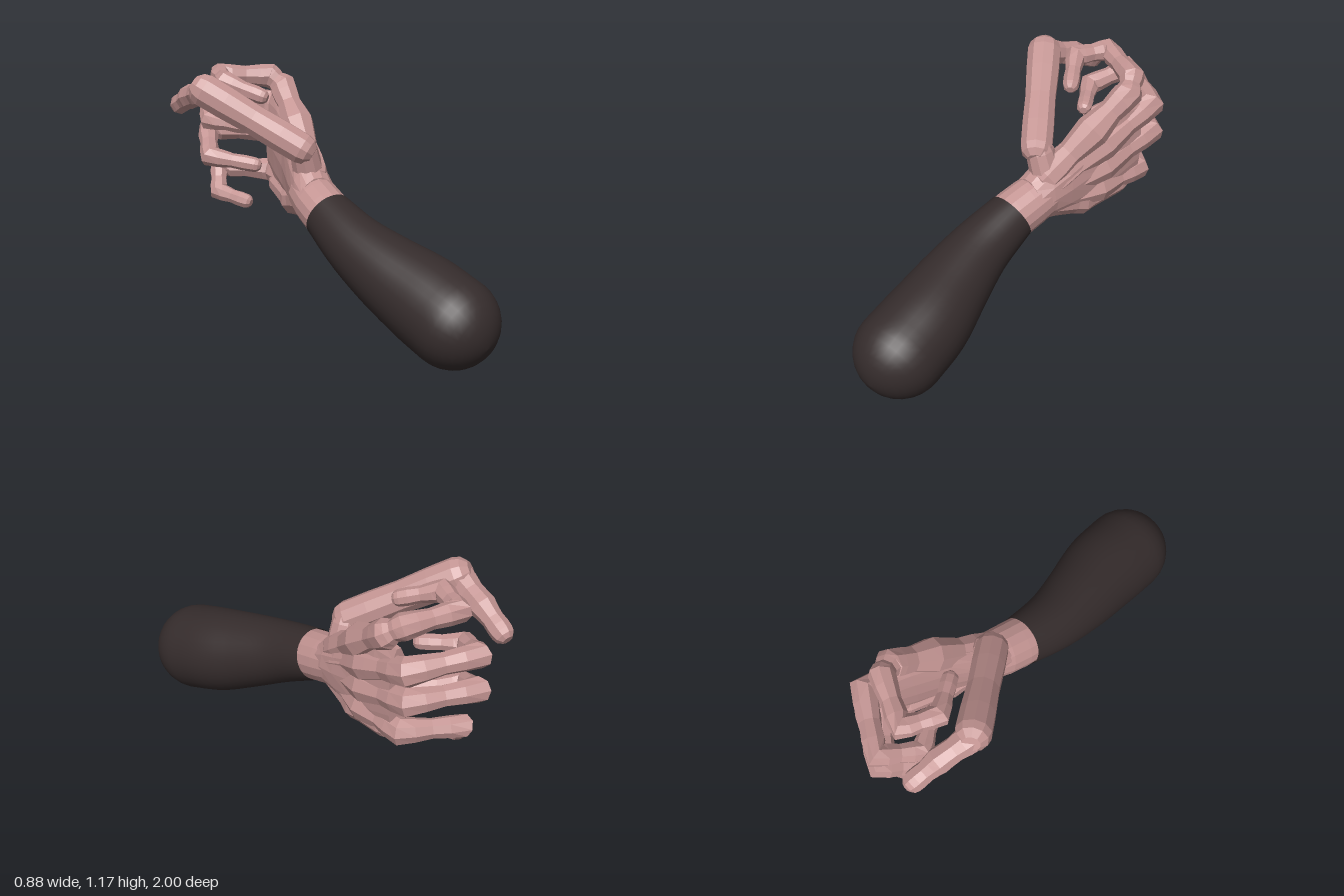
import * as THREE from 'three';

const V = (x, y, z) => new THREE.Vector3(x, y, z);

// Skin a list of point rings; the ends close onto their centres
function loft(rings, capStart = true) {
  const n = rings[0].length, pos = [], idx = [];
  rings.forEach(r => r.forEach(p => pos.push(p.x, p.y, p.z)));
  for (let i = 0; i < rings.length - 1; i++) {
    for (let j = 0; j < n; j++) {
      const a = i * n + j, b = i * n + (j + 1) % n;
      idx.push(a, b, b + n, a, b + n, a + n);
    }
  }
  const cap = (k, flip) => {
    const c = rings[k].reduce((s, p) => s.add(p), V(0, 0, 0)).divideScalar(n);
    const ci = pos.length / 3;
    pos.push(c.x, c.y, c.z);
    for (let j = 0; j < n; j++) {
      const a = k * n + j, b = k * n + (j + 1) % n;
      if (flip) idx.push(ci, b, a); else idx.push(ci, a, b);
    }
  };
  if (capStart) cap(0, true);
  cap(rings.length - 1, false);
  const g = new THREE.BufferGeometry();
  g.setAttribute('position', new THREE.Float32BufferAttribute(pos, 3));
  g.setIndex(idx);
  g.computeVertexNormals();
  return g;
}

// Rings square to a path of [point, radius] pairs
function sweep(path, sides) {
  let N = V(0, 1, 0);
  return path.map(([p, r], i) => {
    const prev = path[Math.max(i - 1, 0)][0], next = path[Math.min(i + 1, path.length - 1)][0];
    const d1 = p.clone().sub(prev).normalize(), d2 = next.clone().sub(p).normalize();
    const T = d1.add(d2).normalize();
    N = N.clone().addScaledVector(T, -N.dot(T)).normalize();
    const B = T.clone().cross(N);
    return Array.from({ length: sides }, (_, j) => {
      const a = j / sides * Math.PI * 2;
      return p.clone().addScaledVector(N, r * Math.cos(a)).addScaledVector(B, r * Math.sin(a));
    });
  });
}

// Bony limb: joints [x, y, z, radius], slimmer between the joints, rounded ends
function limb(joints, sides = 8, waist = 0.86) {
  const path = [];
  joints.forEach(([x, y, z, r], i) => {
    const p = V(x, y, z), bend = i > 0 && i < joints.length - 1 ? 1.1 : 1;
    path.push([p, r * bend]);
    if (i < joints.length - 1) {
      const [x2, y2, z2, r2] = joints[i + 1], q = V(x2, y2, z2);
      for (const [t, k] of [[0.22, 1], [0.5, waist], [0.78, 1]]) {
        path.push([p.clone().lerp(q, t), THREE.MathUtils.lerp(r, r2, t) * k]);
      }
    }
  });
  const round = ([end, r], [inner]) => {
    const dir = end.clone().sub(inner).normalize();
    return [[0.45, 0.87], [0.8, 0.5]].map(([d, k]) => [end.clone().addScaledVector(dir, r * d), r * k]);
  };
  const root = round(path[0], path[1]).reverse();
  const tip = round(path[path.length - 1], path[path.length - 2]);
  return loft(sweep([...root, ...path, ...tip], sides));
}

export function createModel() {
  const skin = new THREE.MeshStandardMaterial({ color: 0xc49593, flatShading: true });
  skin.name = 'skin';
  const cloth = new THREE.MeshStandardMaterial({ color: 0x352c2c, side: THREE.DoubleSide });
  cloth.name = 'dark sleeve';

  const model = new THREE.Group();
  model.name = 'arm';
  const add = (parent, name, geo, mat) => {
    const m = new THREE.Mesh(geo, mat);
    m.name = name;
    parent.add(m);
  };

  // Sleeve: tapered sweep ending in a round bulb
  const stations = [
    [0.035, 0.53, -0.02, 0.125], [0.059, 0.437, 0.2, 0.153], [0.112, 0.356, 0.4, 0.185],
    [0.178, 0.28, 0.6, 0.213], [0.22, 0.219, 0.78, 0.219],
  ];
  const line = new THREE.CatmullRomCurve3(stations.map(s => V(s[0], s[1], s[2])));
  const girth = new THREE.CatmullRomCurve3(stations.map(s => V(s[3], 0, 0)), false, 'catmullrom');
  const sleeve = [];
  for (let i = 0; i <= 16; i++) sleeve.push([line.getPoint(i / 16), girth.getPoint(i / 16).x]);
  const bulb = V(0.22, 0.219, 0.78), axis = V(0.22, -0.32, 0.92).normalize();
  for (let i = 1; i <= 8; i++) {
    const a = i / 8.15 * Math.PI / 2;
    sleeve.push([bulb.clone().addScaledVector(axis, 0.219 * Math.sin(a)), 0.219 * Math.cos(a)]);
  }
  add(model, 'sleeve', loft(sweep(sleeve, 32), false), cloth);

  const hand = new THREE.Group();
  hand.name = 'hand';
  model.add(hand);

  // Wrist
  add(hand, 'wrist', loft(sweep([
    [V(0.035, 0.515, 0.03), 0.119], [V(0.035, 0.535, -0.04), 0.122],
    [V(0.037, 0.565, -0.13), 0.12], [V(0.045, 0.6, -0.23), 0.11],
  ], 16)), skin);

  // Palm: oval sections [z, centre x, centre y, half width, half height]
  const palm = [
    [-0.12, 0.037, 0.575, 0.107, 0.118], [-0.2, 0.045, 0.605, 0.11, 0.15],
    [-0.3, 0.063, 0.63, 0.1, 0.19], [-0.45, 0.09, 0.675, 0.08, 0.245],
    [-0.6, 0.108, 0.715, 0.066, 0.265], [-0.73, 0.122, 0.75, 0.05, 0.24],
  ].map(([z, cx, cy, hx, hy]) => Array.from({ length: 14 }, (_, j) => {
    const a = j / 14 * Math.PI * 2;
    return V(cx + hx * Math.cos(a), cy - hy * Math.sin(a), z);
  }));
  add(hand, 'palm', loft(palm), skin);

  // Fingers, each running from the wrist over the knuckle and curling to its tip
  const digits = {
    indexFinger: [[0.065, 0.69, -0.22, 0.075], [0.11, 0.88, -0.46, 0.078], [0.137, 1.03, -0.66, 0.066],
      [0.095, 1.08, -0.72, 0.058], [-0.16, 1.1, -0.79, 0.053], [-0.21, 1.1, -0.62, 0.05], [-0.08, 1.04, -0.48, 0.04]],
    middleFinger: [[0.08, 0.64, -0.22, 0.068], [0.125, 0.79, -0.52, 0.073], [0.14, 0.915, -0.81, 0.064],
      [-0.16, 0.95, -0.935, 0.054], [-0.24, 0.88, -0.75, 0.05], [-0.11, 0.86, -0.6, 0.038]],
    ringFinger: [[0.08, 0.585, -0.22, 0.068], [0.125, 0.67, -0.52, 0.073], [0.14, 0.76, -0.82, 0.062],
      [-0.16, 0.775, -0.945, 0.054], [-0.235, 0.68, -0.77, 0.05], [-0.05, 0.645, -0.62, 0.038]],
    littleFinger: [[0.07, 0.54, -0.22, 0.068], [0.115, 0.55, -0.5, 0.073], [0.122, 0.56, -0.76, 0.06],
      [-0.12, 0.572, -0.905, 0.049], [-0.17, 0.47, -0.81, 0.046], [-0.08, 0.44, -0.67, 0.038]],
  };
  for (const [name, joints] of Object.entries(digits)) add(hand, name, limb(joints), skin);

  // Heel of the hand and the thumb
  add(hand, 'palmHeel', limb([[0.05, 0.56, -0.2, 0.09], [0.08, 0.495, -0.42, 0.077], [0.105, 0.52, -0.64, 0.062]], 10, 1), skin);
  add(hand, 'thumbBase', limb([[0.05, 0.67, -0.23, 0.08], [0.01, 0.81, -0.215, 0.07]], 10, 1), skin);
  add(hand, 'thumb', limb([[-0.005, 0.825, -0.205, 0.079], [-0.36, 1.09, -0.545, 0.085]], 10, 0.94), skin);
  add(hand, 'thumbTip', limb([[-0.365, 1.075, -0.56, 0.07], [-0.355, 1.02, -0.73, 0.058], [-0.352, 0.953, -0.865, 0.053]], 8, 0.92), skin);

  return model;
}
